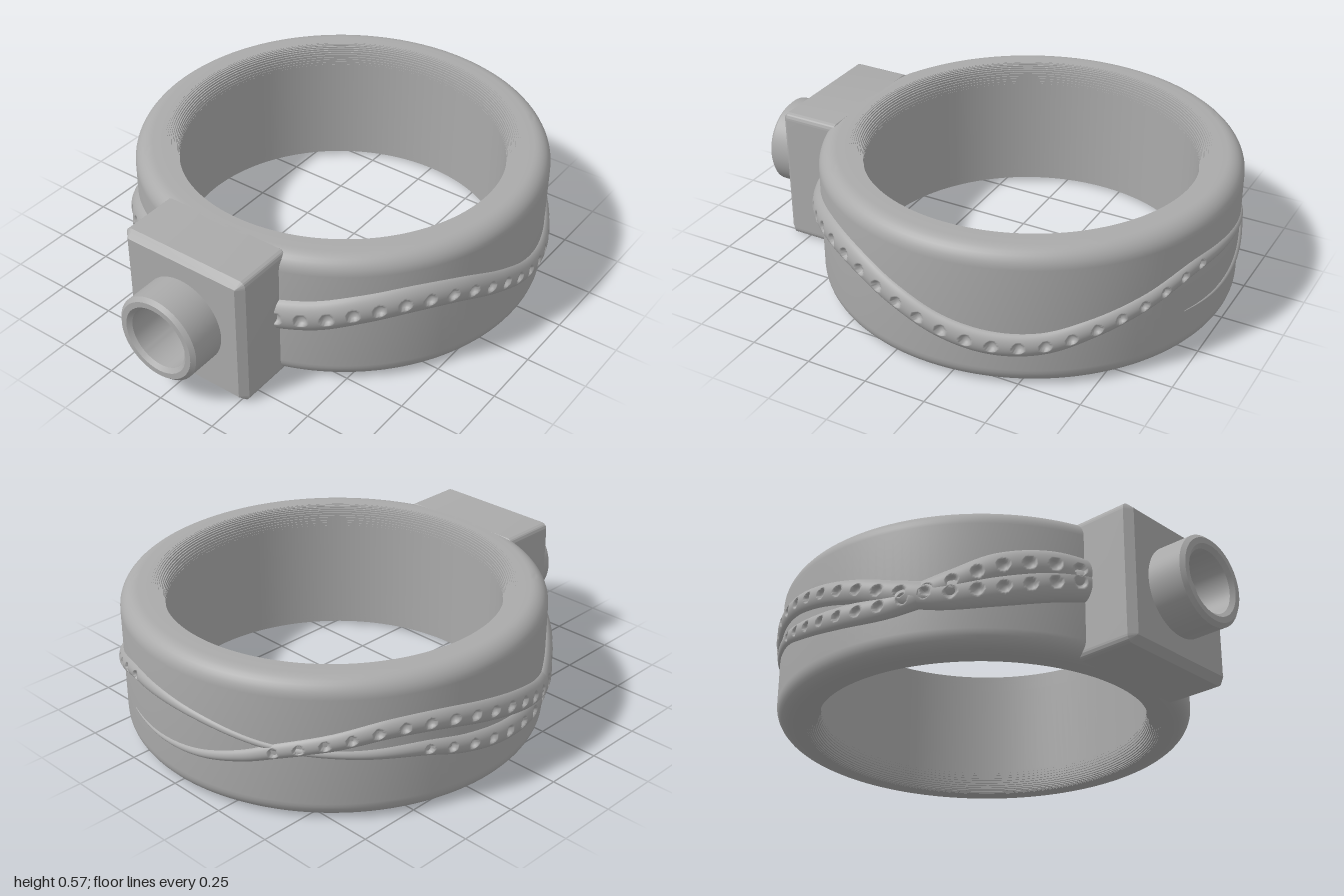
import * as THREE from 'three';
import { toCreasedNormals } from 'three/addons/utils/BufferGeometryUtils.js';

const H = 0.57;          // band height
const CZ = -0.16;        // band axis
const R_OUT = 0.835;
const R_IN = 0.66;
const R_VINE = 0.86;

const metal = new THREE.MeshStandardMaterial({ color: 0xaaaaaa });
metal.name = 'grey metal';

function part(name, geometry, crease = 0.5) {
  const mesh = new THREE.Mesh(crease ? toCreasedNormals(geometry, crease) : geometry, metal);
  mesh.name = name;
  return mesh;
}

// Band: rounded outside edges, finely stepped easing on the inside edges
function bandGeometry() {
  const half = [];       // lower half, from the bore out to the outer wall
  const steps = 12, easeR = 0.06, easeY = 0.09;
  let lastR = R_IN;
  for (let i = 0; i <= steps; i++) {
    const a = (i / steps) * Math.PI / 2;
    const r = R_IN + easeR * (1 - Math.cos(a));
    const y = easeY * (1 - Math.sin(a));
    half.push([lastR, y], [r, y]);
    lastR = r;
  }
  const f = 0.07;
  for (let i = 0; i <= 8; i++) {
    const a = (i / 8) * Math.PI / 2;
    half.push([R_OUT - f + f * Math.sin(a), f - f * Math.cos(a)]);
  }
  const upper = half.map(([r, y]) => [r, H - y]).reverse();
  const profile = [...half, ...upper, half[0]]
    .filter((p, i, all) => i === 0 || Math.hypot(p[0] - all[i - 1][0], p[1] - all[i - 1][1]) > 1e-6)
    .map(([r, y]) => new THREE.Vector2(r, y));
  return new THREE.LatheGeometry(profile, 144);
}

// Square head: rounded plate with a bore and chamfered front
function headGeometry() {
  const w = 0.28, h = H / 2, r = 0.03, bevel = 0.028;
  const s = new THREE.Shape();
  s.moveTo(-w + r, -h);
  s.lineTo(w - r, -h);
  s.quadraticCurveTo(w, -h, w, -h + r);
  s.lineTo(w, h - r);
  s.quadraticCurveTo(w, h, w - r, h);
  s.lineTo(-w + r, h);
  s.quadraticCurveTo(-w, h, -w, h - r);
  s.lineTo(-w, -h + r);
  s.quadraticCurveTo(-w, -h, -w + r, -h);
  s.holes.push(new THREE.Path().absarc(0, 0, 0.145, 0, Math.PI * 2, true));
  const back = 0.56, front = 0.845;
  const g = new THREE.ExtrudeGeometry(s, {
    depth: front - back - 2 * bevel, bevelEnabled: true, bevelThickness: bevel,
    bevelSize: bevel, bevelOffset: -bevel, bevelSegments: 1, curveSegments: 32,
  });
  return g.translate(0, h, back + bevel);
}

// Hollow collar, turned around the z axis
function collarGeometry() {
  const p = [[0.18, 0.82], [0.18, 0.985], [0.165, 1], [0.142, 1], [0.126, 0.985], [0.126, 0.7], [0, 0.7]];
  return new THREE.LatheGeometry(p.map(([r, z]) => new THREE.Vector2(r, z)), 64)
    .rotateX(Math.PI / 2).translate(0, H / 2, 0);
}

// Vine: raised strip following [degrees around from the front, height, size], with a row of dimples
function vineGeometry(keys, columns) {
  const curve = new THREE.CatmullRomCurve3(keys.map(([deg, y, w]) =>
    new THREE.Vector3(THREE.MathUtils.degToRad(deg) * R_VINE, y, w)));
  curve.arcLengthDivisions = 1000;
  const pts = curve.getSpacedPoints(columns);
  const rows = 24, spacing = 0.0975, pos = [], index = [];
  let s = 0;
  pts.forEach((p, i) => {
    const a = pts[Math.max(i - 1, 0)], b = pts[Math.min(i + 1, columns)];
    const len = Math.hypot(b.x - a.x, b.y - a.y);
    const tx = (b.x - a.x) / len, ty = (b.y - a.y) / len;
    if (i > 0) s += Math.hypot(p.x - a.x, p.y - a.y);
    const along = (s % spacing) - spacing / 2;
    const w = p.z, pit = 0.012 + 0.012 * w;
    for (let j = 0; j <= rows; j++) {
      const v = (j / rows) * 2 - 1;
      const off = v * 0.072 * w;
      let r = R_OUT - 0.01 + (0.01 + 0.036 * w) * Math.pow(Math.max(0, 1 - v * v), 0.6);
      const d = Math.hypot(along, off) / pit;
      if (w > 0.45 && d < 1) r -= 0.022 * Math.sqrt(1 - d * d);
      const angle = (p.x - ty * off) / R_VINE;
      pos.push(-r * Math.sin(angle), p.y + tx * off, r * Math.cos(angle));
      if (i < columns && j < rows) {
        const k = i * (rows + 1) + j, n = k + rows + 1;
        index.push(k, k + 1, n, n, k + 1, n + 1);
      }
    }
  });
  const g = new THREE.BufferGeometry();
  g.setAttribute('position', new THREE.Float32BufferAttribute(pos, 3));
  g.setIndex(index);
  g.computeVertexNormals();
  return g;
}

export function createModel() {
  const model = new THREE.Group();
  model.name = 'ring';

  const band = part('band', bandGeometry());
  band.position.z = CZ;
  model.add(band, part('head', headGeometry()), part('collar', collarGeometry()));

  // Long vine goes round almost the whole band, thinning where it passes under the short one
  const longVine = [
    [18.7, 0.33, 1], [29, 0.335, 1], [42, 0.31, 0.95], [54, 0.25, 0.85], [70, 0.19, 0.75], [85, 0.2, 0.7],
    [100, 0.232, 0.6], [112, 0.265, 0.48], [130, 0.275, 0.3], [150, 0.295, 0.22], [171, 0.345, 0.28],
    [188, 0.365, 0.42], [199, 0.36, 0.5], [213, 0.3, 0.55], [227, 0.24, 0.62], [240, 0.19, 0.7],
    [253, 0.185, 0.75], [266, 0.22, 0.75], [279, 0.285, 0.78], [293, 0.35, 0.85], [306, 0.37, 0.92],
    [319, 0.35, 0.96], [331, 0.315, 1], [343, 0.295, 1],
  ];
  const shortVine = [
    [18.7, 0.29, 1], [29, 0.26, 1], [42, 0.222, 0.95], [56, 0.205, 0.88], [68, 0.235, 0.8], [80, 0.285, 0.75],
    [94, 0.335, 0.7], [108, 0.37, 0.65], [121, 0.37, 0.6], [135, 0.328, 0.53], [148, 0.283, 0.47],
    [158, 0.235, 0.38], [171, 0.19, 0.28], [185, 0.175, 0.18], [200, 0.185, 0.04],
  ];
  [['longVine', longVine, 960], ['shortVine', shortVine, 520]].forEach(([name, keys, columns]) => {
    const vine = part(name, vineGeometry(keys, columns), 0);
    vine.position.z = CZ;
    model.add(vine);
  });
  return model;
}
